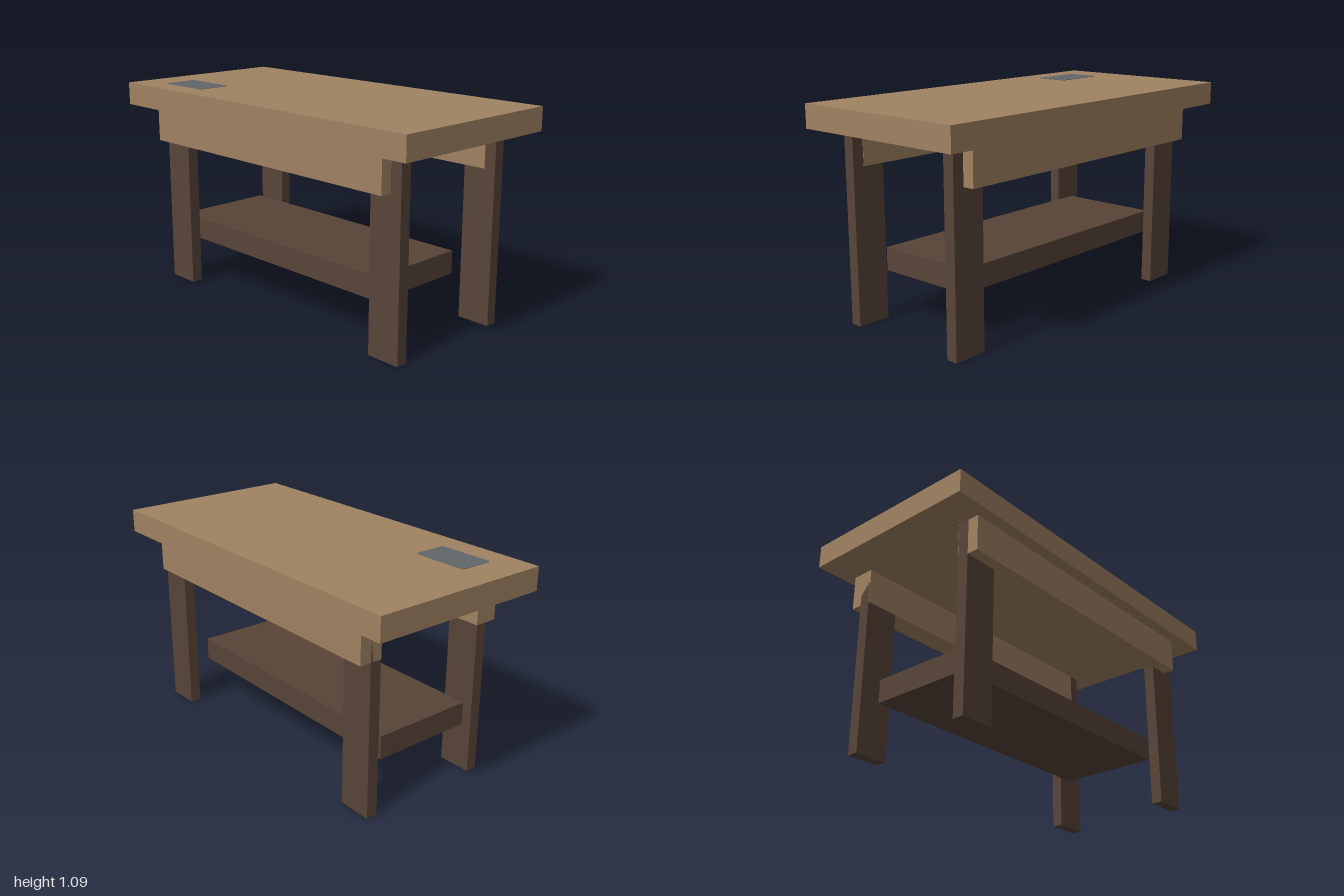
import * as THREE from 'three';

export function createModel() {
  const model = new THREE.Group();
  model.name = 'workbench';

  const mat = (name, color) => {
    const m = new THREE.MeshStandardMaterial({ color });
    m.name = name;
    return m;
  };
  const lightWood = mat('lightWood', 0xa08262);
  const darkWood = mat('darkWood', 0x574438);
  const greyMetal = mat('greyMetal', 0x61676a);

  // Box given by its extents on each axis
  const slab = (name, material, [x0, x1], [y0, y1], [z0, z1]) => {
    const mesh = new THREE.Mesh(new THREE.BoxGeometry(x1 - x0, y1 - y0, z1 - z0), material);
    mesh.position.set((x0 + x1) / 2, (y0 + y1) / 2, (z0 + z1) / 2);
    mesh.name = name;
    model.add(mesh);
  };

  // Thick table top
  slab('tableTop', lightWood, [-1, 1], [0.973, 1.092], [-0.484, 0.484]);

  for (const s of [1, -1]) {
    const end = s > 0 ? 'front' : 'back';
    const span = (a, b) => (s > 0 ? [a, b] : [-b, -a]);
    // Long apron, let through the legs so its inner face shows
    slab(end + 'Apron', lightWood, [-0.817, 0.815], [0.79, 0.973], span(0.303, 0.423));
    // Plank legs
    slab(end + 'RightLeg', darkWood, [-0.817, -0.64], [0, 0.973], span(0.305, 0.364));
    slab(end + 'LeftLeg', darkWood, [0.697, 0.875], [0, 0.973], span(0.305, 0.364));
  }

  // Lower shelf, butting against the front legs
  slab('lowerShelf', darkWood, [-0.763, 0.692], [0.245, 0.364], [-0.24, 0.305]);

  // Thin rounded plate on the table top
  const w = 0.15, h = 0.09, r = 0.015;
  const outline = new THREE.Shape();
  outline.absarc(w - r, h - r, r, 0, Math.PI / 2);
  outline.absarc(-w + r, h - r, r, Math.PI / 2, Math.PI);
  outline.absarc(-w + r, -h + r, r, Math.PI, Math.PI * 1.5);
  outline.absarc(w - r, -h + r, r, Math.PI * 1.5, Math.PI * 2);
  const plateGeo = new THREE.ExtrudeGeometry(outline, { depth: 0.003, bevelEnabled: false, curveSegments: 4 });
  plateGeo.rotateX(-Math.PI / 2);
  const plate = new THREE.Mesh(plateGeo, greyMetal);
  plate.position.set(-0.669, 1.091, 0.27);
  plate.name = 'metalPlate';
  model.add(plate);

  return model;
}
